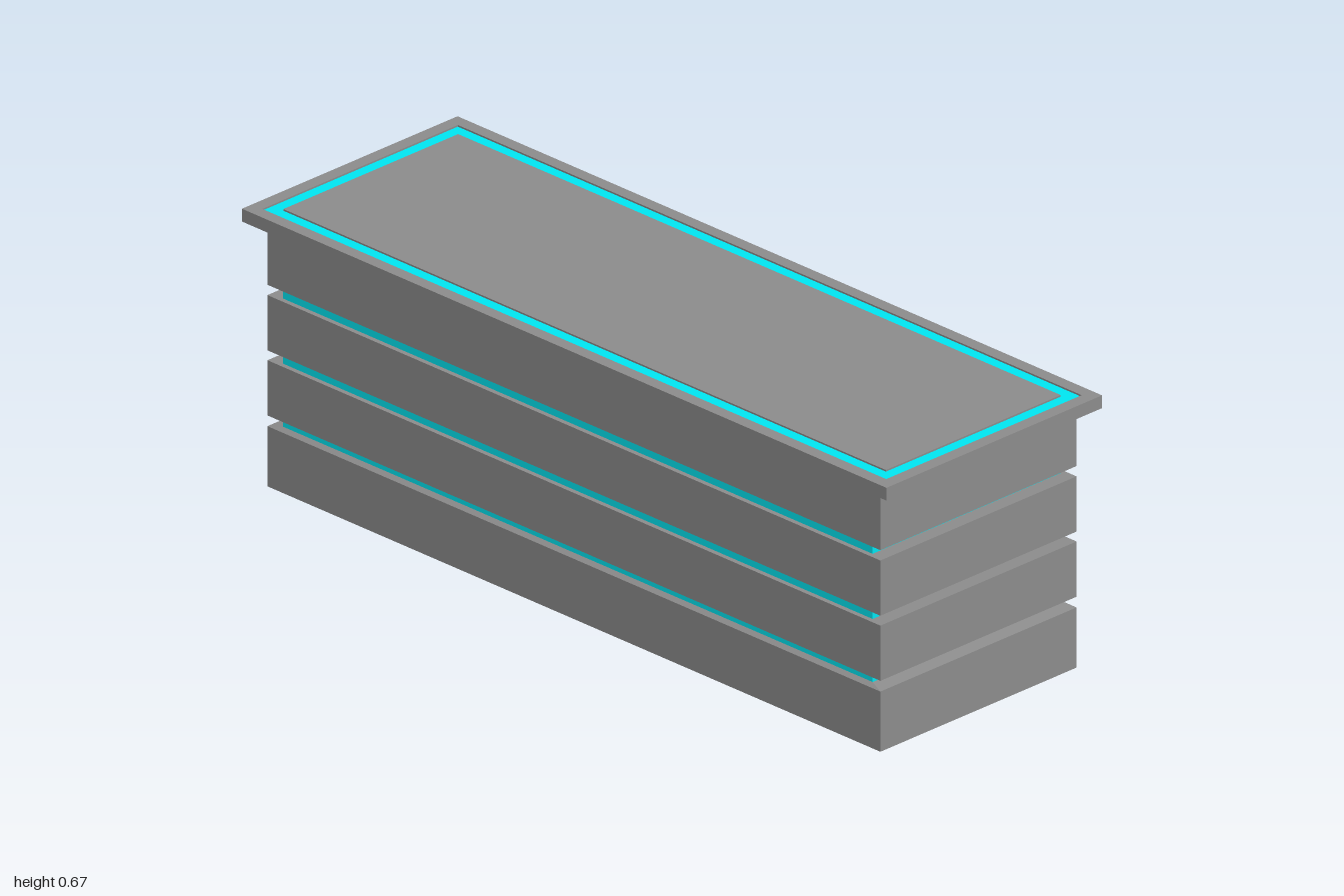
import * as THREE from 'three';

const grey = new THREE.MeshStandardMaterial({ color: 0x8b8b8b, flatShading: true });
const teal = new THREE.MeshStandardMaterial({ color: 0x00e4f0, flatShading: true });

// Block from y0 to y1, tapering from half-sizes [x, z] at the bottom to those at the top
function block(name, material, y0, y1, bottom, top = bottom) {
  const geometry = new THREE.BoxGeometry(2, y1 - y0, 2);
  const middle = (y0 + y1) / 2;
  geometry.translate(0, middle, 0);
  const p = geometry.attributes.position;
  for (let i = 0; i < p.count; i++) {
    const [hx, hz] = p.getY(i) > middle ? top : bottom;
    p.setX(i, p.getX(i) * hx);
    p.setZ(i, p.getZ(i) * hz);
  }
  geometry.computeVertexNormals();
  const mesh = new THREE.Mesh(geometry, material);
  mesh.name = name;
  return mesh;
}

// Trace a centred rectangle on a Shape or Path
function rectangle(path, hx, hz) {
  path.moveTo(-hx, -hz);
  path.lineTo(hx, -hz);
  path.lineTo(hx, hz);
  path.lineTo(-hx, hz);
  path.closePath();
  return path;
}

// Flat rectangular frame with an open middle
function frame(name, material, y0, y1, outer, inner) {
  const shape = rectangle(new THREE.Shape(), ...outer);
  shape.holes.push(rectangle(new THREE.Path(), ...inner));
  const geometry = new THREE.ExtrudeGeometry(shape, { depth: y1 - y0, bevelEnabled: false });
  geometry.rotateX(-Math.PI / 2);
  geometry.translate(0, y0, 0);
  const mesh = new THREE.Mesh(geometry, material);
  mesh.name = name;
  return mesh;
}

export function createModel() {
  const model = new THREE.Group();
  model.name = 'counter';

  const body = [0.951, 0.303];
  const core = [0.915, 0.291];
  const slab = [1, 0.333];
  const ringOuter = [0.968, 0.302];
  const ringInner = [0.935, 0.27];

  // Stacked body panels; the lowest and highest slope in to their light strips
  model.add(
    block('bottomPanel', grey, 0, 0.146, body),
    block('bottomPanelSlope', grey, 0.146, 0.153, body, core),
    block('lowerMiddlePanel', grey, 0.172, 0.306, body),
    block('upperMiddlePanel', grey, 0.33, 0.464, body),
    block('topPanelSlope', grey, 0.483, 0.489, core, body),
    block('topPanel', grey, 0.489, 0.636, body),
  );

  // Recessed light strips between the panels
  [[0.153, 0.172], [0.306, 0.33], [0.464, 0.483]].forEach(([y0, y1], i) => {
    model.add(block(`lightStrip${i + 1}`, teal, y0, y1, core));
  });

  // Worktop with a glowing inlay set in a shallow groove
  const worktop = new THREE.Group();
  worktop.name = 'worktop';
  worktop.add(
    block('worktopBase', grey, 0.636, 0.657, slab),
    frame('worktopRim', grey, 0.657, 0.667, slab, ringOuter),
    frame('worktopInlay', teal, 0.657, 0.663, ringOuter, ringInner),
    block('worktopPanel', grey, 0.657, 0.667, ringInner),
  );
  model.add(worktop);
  return model;
}
